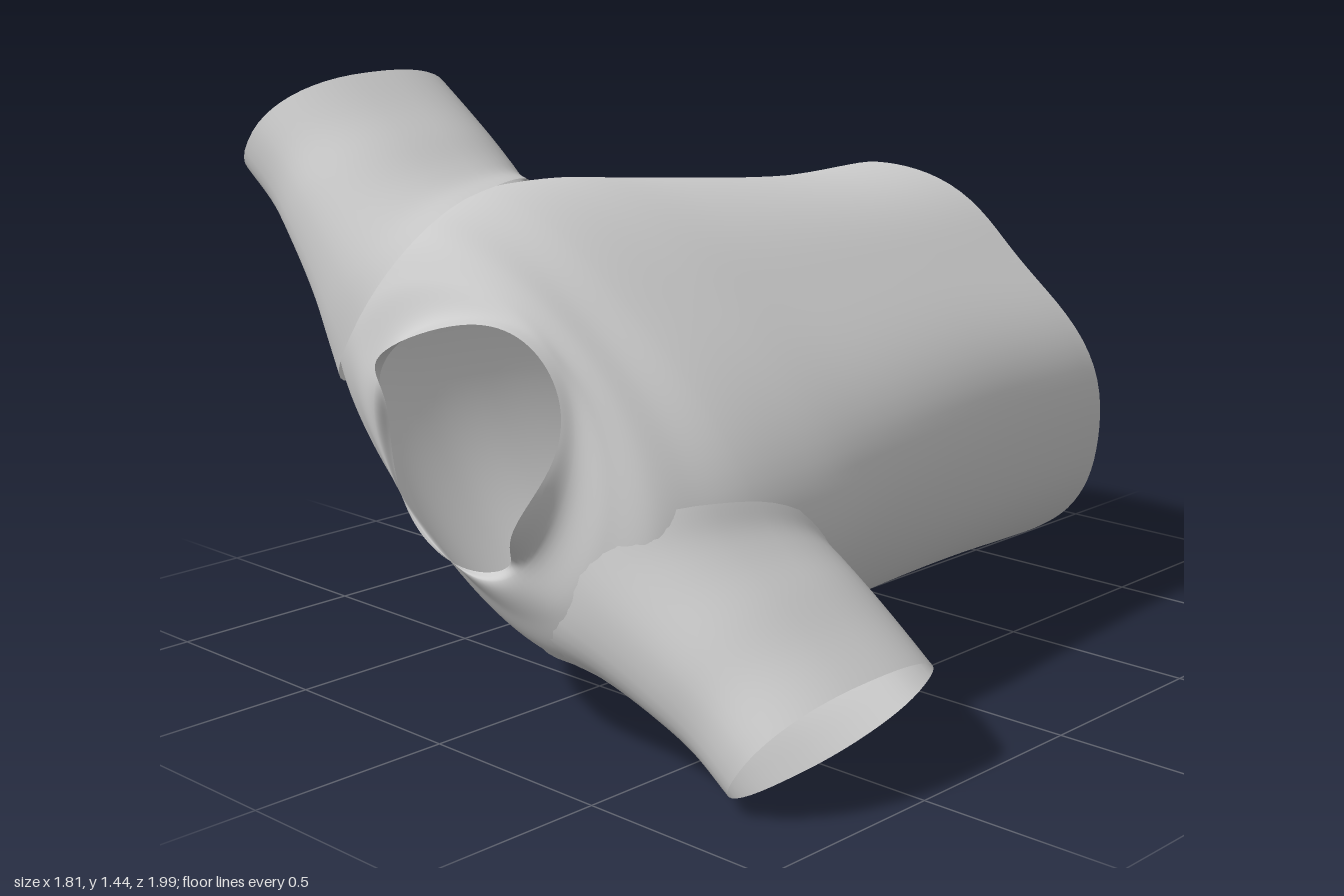
import * as THREE from 'three';

// Garment space: x runs sleeve to sleeve, y is chest depth, z runs hem to neck.
const fabric = new THREE.MeshStandardMaterial({ color: 0xcccccc, side: THREE.DoubleSide });

// Skins closed rings with smooth curves; rings[k](t) gives a point at angle t.
function loft(name, rings, sides, steps, skip = () => false) {
  const pos = [], index = [];
  const at = (i, j) => (i % sides) * (steps + 1) + j;
  for (let i = 0; i < sides; i++) {
    const t = (i / sides) * Math.PI * 2;
    const curve = new THREE.CatmullRomCurve3(rings.map((r) => r(t)));
    for (let j = 0; j <= steps; j++) pos.push(...curve.getPoint(j / steps).toArray());
  }
  const point = (n) => new THREE.Vector3().fromArray(pos, n * 3);
  for (let i = 0; i < sides; i++) {
    for (let j = 0; j < steps; j++) {
      const a = at(i, j), b = at(i + 1, j), c = at(i + 1, j + 1), d = at(i, j + 1);
      const mid = point(a).add(point(b)).add(point(c)).add(point(d)).divideScalar(4);
      if (!skip(mid)) index.push(a, b, c, a, c, d);
    }
  }
  const geo = new THREE.BufferGeometry();
  geo.setAttribute('position', new THREE.Float32BufferAttribute(pos, 3));
  geo.setIndex(index);
  geo.computeVertexNormals();
  const mesh = new THREE.Mesh(geo, fabric);
  mesh.name = name;
  return mesh;
}

// Ring with a flat upper side (power n) and a round lower side;
// height(s, c) sets its z from the sine and cosine.
function ring(cx, cy, a, top, bottom, n, height, fold = 0) {
  return (t) => {
    const c = Math.cos(t), s = Math.sin(t);
    const p = s > 0 ? n : 2;
    const r = (Math.abs(c) ** p + Math.abs(s) ** p) ** (-1 / p) * (1 + fold * Math.sin(7 * t + 1));
    return new THREE.Vector3(cx + a * c * r, cy + (s > 0 ? top : bottom) * s * r, height(s, c));
  };
}

// Sleeve sections: distance out, depth centre, half depth, z centre, half z, lean
const sleeveRings = [
  [0.51, -0.07, 0.275, 0.585, 0.32, 0.1],
  [0.57, -0.053, 0.235, 0.585, 0.315, 0.07],
  [0.64, -0.033, 0.205, 0.58, 0.31, 0.04],
  [0.75, -0.013, 0.182, 0.575, 0.3, 0.01],
  [0.87, -0.002, 0.165, 0.57, 0.292, 0],
  [1.0, 0.003, 0.16, 0.575, 0.29, 0],
];

// Slightly squared, tilted sections, fuller toward the shoulder seam
function sleeve(name, side) {
  const square = (v) => Math.sign(v) * Math.abs(v) ** 0.85;
  const rings = sleeveRings.map(([x, y, hy, z, hz, lean]) => (t) => {
    const s = Math.sin(t * side), c = Math.cos(t * side);
    const depth = y + hy * square(c) * (1 + 0.08 * s) - 0.03 * s;
    return new THREE.Vector3(side * (x - lean * s), depth, z + hz * square(s));
  });
  return loft(name, rings, 48, 24);
}

// True where the torso wall opens into a sleeve
function inArmhole(p) {
  return Math.abs(p.x) > 0.48 && Math.hypot((p.y + 0.05) / 0.2, (p.z - 0.585) / 0.285) < 1;
}

export function createModel() {
  const shirt = new THREE.Group();
  shirt.name = 'shirt';

  // Torso from the wavy hem, over the shoulders, to the scooped collar
  const level = (z, sag = 0) => (s) => z - sag * (0.07 * s * s + 0.05 * s);
  const torso = loft('torso', [
    ring(-0.01, -0.18, 0.59, 0.445, 0.495, 2.5, (s, c) => -0.945 + 0.045 * s + 0.01 * Math.sin(6 * c), 0.012),
    ring(-0.005, -0.165, 0.59, 0.435, 0.475, 2.4, level(-0.55), 0.01),
    ring(0, -0.12, 0.625, 0.4, 0.465, 2.7, level(0), 0.006),
    ring(0.005, -0.1, 0.655, 0.39, 0.455, 2.8, level(0.3)),
    ring(0.01, -0.09, 0.65, 0.375, 0.44, 2.8, level(0.53)),
    ring(0.015, -0.08, 0.63, 0.345, 0.39, 2.6, level(0.71, 0.5)),
    ring(0.02, -0.06, 0.58, 0.32, 0.33, 2.3, level(0.84, 1)),
    ring(0.03, -0.045, 0.45, 0.295, 0.28, 2.1, level(0.895, 1)),
    ring(0.04, -0.03, 0.31, 0.28, 0.275, 2, level(0.925, 1)),
    ring(0.04, -0.03, 0.275, 0.28, 0.285, 2,
      (s) => 0.868 + 0.135 * Math.exp(-(((s - 0.2) / 0.5) ** 2)) - 0.04 * s),
  ], 96, 72, inArmhole);

  shirt.add(torso, sleeve('leftSleeve', 1), sleeve('rightSleeve', -1));

  // Tilt the garment sideways
  shirt.rotation.z = -Math.PI / 5;
  shirt.position.y = 0.72;
  const model = new THREE.Group();
  model.name = 'tiltedShirt';
  model.add(shirt);
  return model;
}
